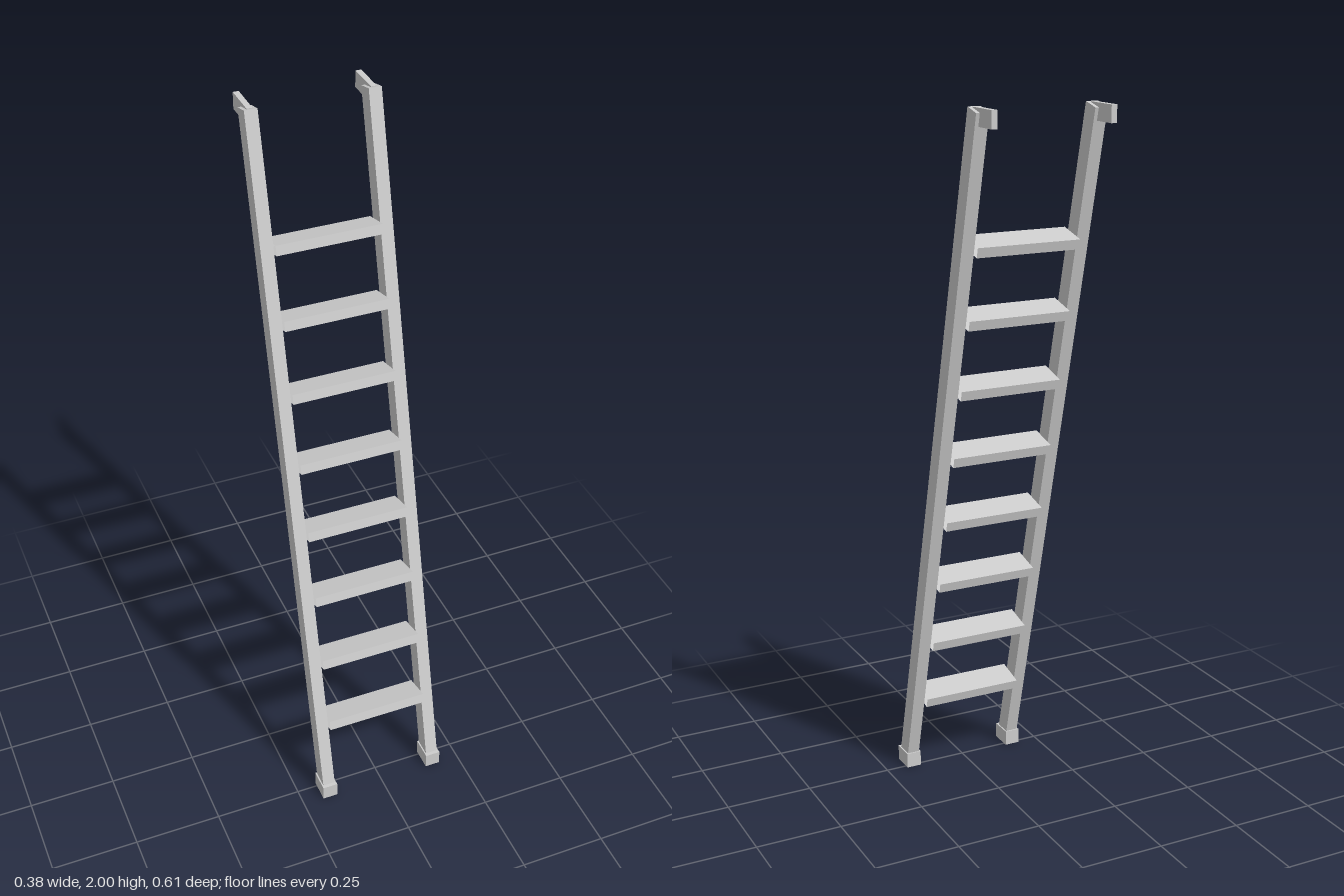
import * as THREE from 'three';

export function createModel() {
  const model = new THREE.Group();
  model.name = 'ladder';
  const metal = new THREE.MeshStandardMaterial({ color: 0xcccccc, side: THREE.DoubleSide });
  metal.name = 'light grey';

  function add(parent, name, geometry, x, y, z) {
    const mesh = new THREE.Mesh(geometry, metal);
    mesh.name = name;
    mesh.position.set(x, y, z);
    parent.add(mesh);
    return mesh;
  }

  // Leaning frame: local y runs up along the rails
  const frame = new THREE.Group();
  frame.name = 'leaningFrame';
  frame.position.set(0, 0.02, 0.274);
  frame.rotation.x = -Math.atan(0.25);
  model.add(frame);

  // Rails, feet and top hooks, mirrored left and right
  const railLength = 2.035;
  for (const [side, s] of [['left', 1], ['right', -1]]) {
    const x = s * 0.167;
    add(frame, side + 'Rail', new THREE.BoxGeometry(0.036, railLength, 0.05), x, railLength / 2, 0);
    add(model, side + 'Foot', new THREE.BoxGeometry(0.044, 0.045, 0.066), x, 0.0225, 0.271);
    add(model, side + 'Hook', new THREE.BoxGeometry(0.016, 0.046, 0.103), x, 1.977, -0.2555);
  }

  // Treads: hollow box sections, open at the ends that meet the rails
  const tread = new THREE.BoxGeometry(0.298, 0.028, 0.087);
  tread.setIndex(Array.from(tread.index.array).slice(12));
  tread.clearGroups();
  for (let i = 0; i < 8; i++) {
    add(frame, 'rung' + (i + 1), tread, 0, 0.2283 + i * 0.2062, 0);
  }
  return model;
}
